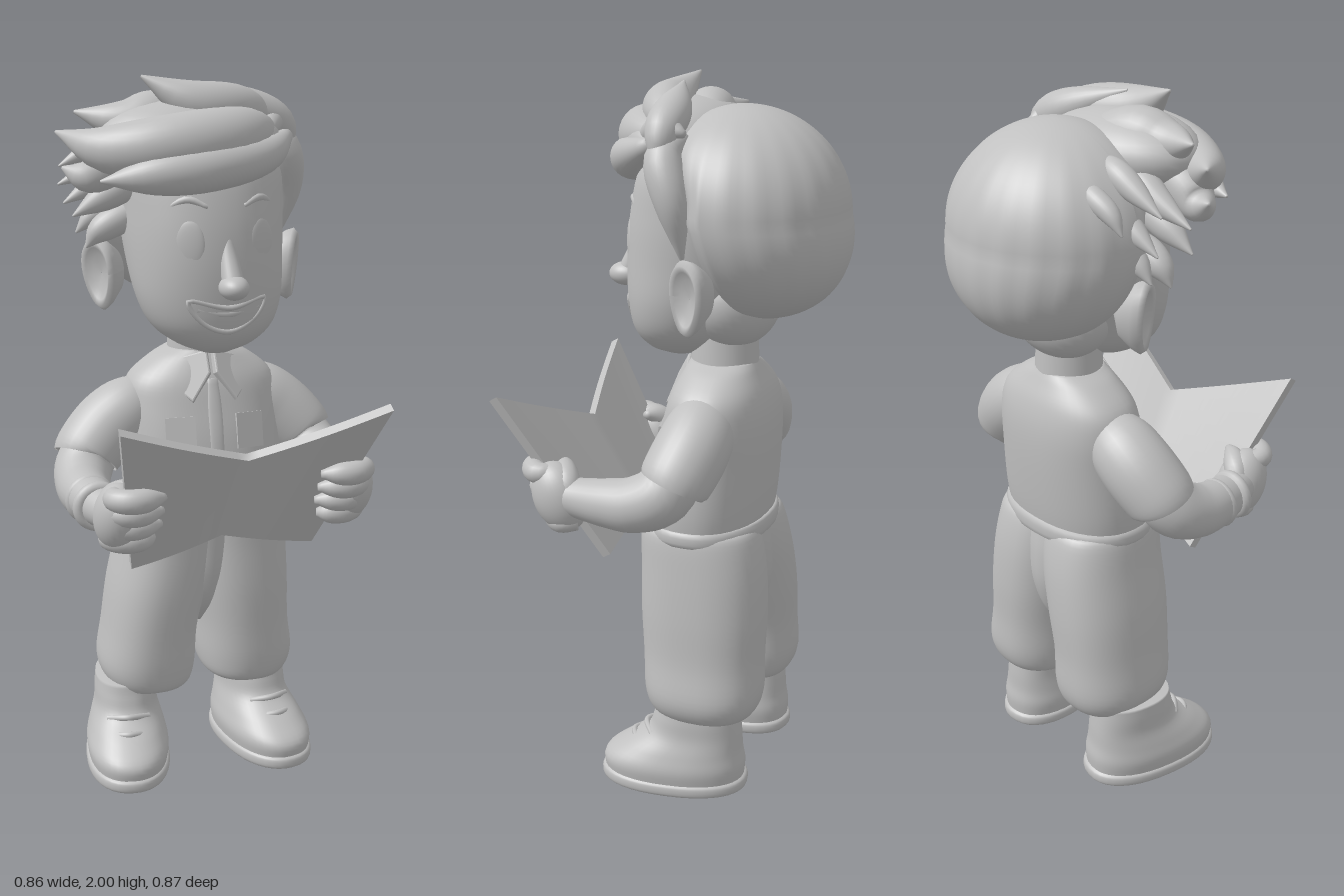
import * as THREE from 'three';

const clay = new THREE.MeshStandardMaterial({ color: 0xc0c0c0 });
clay.name = 'clay grey';

function mesh(name, geometry, parent) {
  const m = new THREE.Mesh(geometry, clay);
  m.name = name;
  parent.add(m);
  return m;
}

// Smooth closed body through rings [x, y, z, radiusA, radiusB].
// level keeps every ring horizontal (rings ordered upwards); power < 1 squares the section.
function sweep(rings, { level = false, power = 1, steps = 5, sides = 28, ref = new THREE.Vector3(0, 0, 1) } = {}) {
  const path = new THREE.CatmullRomCurve3(rings.map(r => new THREE.Vector3(r[0], r[1], r[2])), false, 'catmullrom');
  const size = new THREE.CatmullRomCurve3(rings.map(r => new THREE.Vector3(r[3], r[4] ?? r[3], 0)), false, 'catmullrom');
  const count = (rings.length - 1) * steps, pos = [], idx = [];
  const bend = v => Math.sign(v) * Math.abs(v) ** power;
  for (let i = 0; i <= count; i++) {
    const c = path.getPoint(i / count), r = size.getPoint(i / count);
    const t = level ? new THREE.Vector3(0, 1, 0) : path.getTangent(i / count);
    const a = t.clone().cross(ref).normalize(), b = a.clone().cross(t);
    for (let j = 0; j < sides; j++) {
      const w = j / sides * Math.PI * 2;
      const p = c.clone().addScaledVector(a, bend(Math.cos(w)) * Math.max(r.x, 0.001))
        .addScaledVector(b, bend(Math.sin(w)) * Math.max(r.y, 0.001));
      pos.push(p.x, p.y, p.z);
      if (i < count) {
        const k = i * sides + j, l = i * sides + (j + 1) % sides;
        idx.push(k, k + sides, l + sides, k, l + sides, l);
      }
    }
  }
  const s = pos.length / 3, e = s + 1, last = count * sides;
  pos.push(...path.getPoint(0).toArray(), ...path.getPoint(1).toArray());
  for (let j = 0; j < sides; j++) {
    const n = (j + 1) % sides;
    idx.push(s, j, n, e, last + n, last + j);
  }
  const g = new THREE.BufferGeometry();
  g.setAttribute('position', new THREE.Float32BufferAttribute(pos, 3));
  g.setIndex(idx);
  g.computeVertexNormals();
  return g;
}

function ball(name, parent, [x, y, z], [rx, ry, rz]) {
  const m = mesh(name, new THREE.SphereGeometry(1, 32, 22), parent);
  m.position.set(x, y, z);
  m.scale.set(rx, ry, rz);
  return m;
}

function cord(name, parent, points, radius, closed = false) {
  const curve = new THREE.CatmullRomCurve3(points.map(p => new THREE.Vector3(...p)), closed);
  return mesh(name, new THREE.TubeGeometry(curve, 40, radius, 8, closed), parent);
}

const headRings = [
  [0.03, 1.262, 0.03, 0.04, 0.04], [0.03, 1.29, 0.025, 0.11, 0.09], [0.025, 1.34, 0.015, 0.17, 0.135],
  [0.02, 1.42, 0.0, 0.203, 0.165], [0.015, 1.53, -0.03, 0.217, 0.2], [0.015, 1.65, -0.06, 0.225, 0.22],
  [0.015, 1.77, -0.08, 0.22, 0.21], [0.01, 1.86, -0.08, 0.15, 0.15]];

// Depth of the face surface at a given x, y
function faceZ(x, y) {
  let i = 0;
  while (i < headRings.length - 2 && headRings[i + 1][1] < y) i++;
  const a = headRings[i], b = headRings[i + 1], t = (y - a[1]) / (b[1] - a[1]);
  const [cx, , cz, rx, rz] = a.map((v, k) => v + (b[k] - v) * t);
  return cz + rz * Math.sqrt(Math.max(0, 1 - ((x - cx) / rx) ** 2));
}
const onFace = ([x, y], lift = 0) => [x, y, faceZ(x, y) + lift];

// Dished ear facing +x or -x, narrower at the lobe
function earGeometry(s) {
  const profile = [[0.001, -0.07], [0.04, -0.05], [0.06, -0.012], [0.066, 0.01], [0.058, 0.024], [0.047, 0.018], [0.034, 0.004], [0.001, 0]];
  const g = new THREE.LatheGeometry(profile.map(p => new THREE.Vector2(...p)), 32);
  g.rotateZ(-s * Math.PI / 2).scale(1, 1.55, 1);
  const p = g.attributes.position;
  for (let i = 0; i < p.count; i++) p.setZ(i, p.getZ(i) * (0.92 + 2 * p.getY(i)));
  g.computeVertexNormals();
  return g;
}

function buildHead(root) {
  const head = new THREE.Group();
  head.name = 'head';
  root.add(head);
  mesh('face', sweep(headRings, { level: true, power: 0.94, sides: 48 }), head);
  ball('nape', head, [0.02, 1.42, -0.13], [0.16, 0.13, 0.12]);
  mesh('noseBridge', sweep([[0.025, 1.6, 0.15, 0.012], [0.027, 1.54, 0.16, 0.024], [0.03, 1.47, 0.19, 0.03]]), head);
  ball('noseTip', head, [0.03, 1.465, 0.195], [0.04, 0.033, 0.05]);

  // Smiling mouth: lip outline and teeth
  cord('lips', head, [[-0.08, 1.425], [0.03, 1.405], [0.135, 1.425], [0.11, 1.375], [0.035, 1.338], [-0.04, 1.365]].map(p => onFace(p)), 0.008, true);
  cord('teeth', head, [[-0.055, 1.402], [0.03, 1.388], [0.115, 1.402]].map(p => onFace(p, -0.006)), 0.011);
  for (const s of [-1, 1]) {
    const ex = 0.022 + s * 0.1;
    ball('eye', head, onFace([ex, 1.57], -0.006), [0.045, 0.07, 0.012]).rotation.y = s * 0.45;
    mesh('eyebrow', sweep([[-0.05, 1.672, 0.006], [0.005, 1.69, 0.011], [0.07, 1.65, 0.004]].map(([x, y, r]) => [...onFace([ex + s * x, y]), r])), head);
    const ear = mesh('ear', earGeometry(s), head);
    ear.position.set(0.017 + s * 0.272, 1.47, -0.105);
    ear.rotation.set(-0.1, -s * 0.5, -s * 0.12);
  }
}

function buildHair(root) {
  const hair = new THREE.Group();
  hair.name = 'hair';
  root.add(hair);
  // Rounded back of the hair, pulled back from the face and softly grooved
  const cap = new THREE.SphereGeometry(1, 96, 48), p = cap.attributes.position;
  for (let i = 0; i < p.count; i++) {
    const x = p.getX(i), y = p.getY(i), z = p.getZ(i);
    const groove = 1 + 0.006 * Math.sin(Math.atan2(z, x) * 22) * (1 - y * y);
    const open = z > 0 ? 0.35 + 0.5 * THREE.MathUtils.smoothstep(y, 0.1, 0.75) : 1;
    p.setXYZ(i, 0.01 + x * 0.3 * groove, 1.655 + y * 0.278, -0.14 + z * 0.288 * open * groove + Math.min(0, y) * 0.07);
  }
  cap.computeVertexNormals();
  mesh('hairBack', cap, hair);
  ball('quiffBase', hair, [-0.04, 1.84, 0.03], [0.25, 0.105, 0.16]).rotation.z = -0.04;
  // Swept locks, root to tip
  const locks = [
    [[0.23, 1.84, 0.03, 0.02], [0.13, 1.8, 0.13, 0.05], [-0.03, 1.775, 0.18, 0.06], [-0.18, 1.76, 0.175, 0.05], [-0.31, 1.745, 0.14, 0.004]],
    [[0.2, 1.86, 0, 0.02], [0.07, 1.85, 0.11, 0.075], [-0.12, 1.83, 0.14, 0.08], [-0.28, 1.82, 0.08, 0.06], [-0.39, 1.86, -0.02, 0.004]],
    [[0.2, 1.87, -0.03, 0.02], [0.1, 1.91, 0.04, 0.06], [-0.04, 1.93, 0.08, 0.06], [-0.18, 2.0, 0.06, 0.004]],
    [[0.25, 1.79, 0.0, 0.01], [0.22, 1.87, 0.0, 0.045], [0.12, 1.92, 0.01, 0.048], [-0.04, 1.98, 0.05, 0.004]],
    [[0.1, 1.85, -0.08, 0.01], [-0.1, 1.89, 0.0, 0.07], [-0.22, 1.885, 0.02, 0.055], [-0.34, 1.91, -0.02, 0.004]],
    [[0.17, 1.86, -0.04, 0.02], [0.23, 1.81, -0.01, 0.05], [0.26, 1.7, -0.045, 0.045], [0.245, 1.56, -0.065, 0.006]],
    [[0.22, 1.87, -0.06, 0.01], [0.2, 1.885, 0.0, 0.035], [0.16, 1.86, 0.06, 0.028], [0.11, 1.85, 0.09, 0.004]],
    [[-0.15, 1.85, 0.02, 0.04], [-0.25, 1.79, 0.04, 0.06], [-0.32, 1.75, 0.03, 0.045], [-0.38, 1.77, 0.0, 0.004]]];
  for (const l of locks) mesh('sweptLock', sweep(l), hair);
  // Spiky locks down the right side, thinner towards the back: tip height, depth and reach
  for (const [y, z, x] of [[1.72, -0.06, -0.38], [1.64, -0.02, -0.35], [1.55, -0.05, -0.31], [1.76, -0.14, -0.36], [1.66, -0.14, -0.35], [1.58, -0.13, -0.32], [1.72, -0.22, -0.31]]) {
    const thick = 1 + z * 1.6;
    mesh('sideLock', sweep([[-0.12, y + 0.1, z * 0.7 - 0.03, 0.01], [-0.2, y + 0.08, z, 0.042 * thick], [-0.27, y + 0.045, z, 0.038 * thick], [x, y, z, 0.003]]), hair);
  }
}

function buildBody(root) {
  mesh('neck', new THREE.CylinderGeometry(0.088, 0.098, 0.18, 32), root).position.set(0.025, 1.26, -0.1);
  mesh('shirt', sweep([[0.025, 0.76, -0.065, 0.225, 0.155], [0.025, 0.86, -0.07, 0.235, 0.165], [0.025, 1.0, -0.085, 0.23, 0.16], [0.025, 1.1, -0.097, 0.228, 0.147], [0.025, 1.17, -0.1, 0.21, 0.13], [0.025, 1.225, -0.1, 0.145, 0.105], [0.025, 1.255, -0.1, 0.085, 0.09]], { level: true, power: 0.88, sides: 40 }), root);
  mesh('placket', sweep([[0.025, 0.84, 0.093, 0.02, 0.006], [0.025, 1.0, 0.073, 0.02, 0.006], [0.025, 1.1, 0.049, 0.02, 0.006], [0.025, 1.18, 0.025, 0.015, 0.006]], { level: true }), root);
  // Collar flaps and chest pockets
  const flap = new THREE.Shape([[0, 0.08], [0.1, 0.07], [0.1, 0.0], [0.055, -0.05], [0, 0.02]].map(a => new THREE.Vector2(...a)));
  const flapGeometry = new THREE.ExtrudeGeometry(flap, { depth: 0.012, bevelSize: 0.005, bevelThickness: 0.005, bevelSegments: 2 });
  for (const s of [-1, 1]) {
    const g = flapGeometry.clone();
    if (s < 0) g.rotateY(Math.PI).translate(0, 0, 0.012);
    const c = mesh('collar', g, root);
    c.position.set(0.025 + s * 0.008, 1.175, 0.03);
    c.rotation.set(-0.5, s * 0.4, 0);
    const pocket = mesh('chestPocket', new THREE.BoxGeometry(0.085, 0.1, 0.012), root);
    pocket.position.set(0.025 + s * 0.1, 1.03, 0.053);
    pocket.rotation.set(-0.2, s * 0.25, 0);
  }
  // Fills the seam between the two trouser halves
  mesh('trouserSeat', sweep([[0.005, 0.42, -0.09, 0.015, 0.05], [0.01, 0.5, -0.09, 0.05, 0.115], [0.015, 0.6, -0.087, 0.08, 0.15], [0.02, 0.7, -0.08, 0.1, 0.158], [0.025, 0.79, -0.068, 0.13, 0.155]], { level: true, power: 0.85 }), root);
  mesh('waistband', sweep([[0.025, 0.765, -0.068, 0.2, 0.15], [0.025, 0.77, -0.068, 0.236, 0.17], [0.025, 0.81, -0.068, 0.236, 0.17], [0.025, 0.816, -0.068, 0.2, 0.15]], { level: true, power: 0.9, steps: 3, sides: 40 }), root);
}

function buildLeg(root, s) {
  const side = s > 0 ? 'left' : 'right';
  // Each trouser half runs from the gathered hem to the waist: y, offset, centre z, radii
  const rings = [[0.232, 0.15, -0.09, 0.09, 0.11], [0.25, 0.15, -0.092, 0.125, 0.15], [0.31, 0.153, -0.095, 0.143, 0.17], [0.42, 0.143, -0.09, 0.138, 0.174], [0.55, 0.127, -0.086, 0.142, 0.18], [0.68, 0.108, -0.08, 0.142, 0.177], [0.78, 0.096, -0.068, 0.138, 0.166], [0.805, 0.096, -0.068, 0.12, 0.14]];
  mesh(side + 'Trouser', sweep(rings.map(([y, x, z, a, b]) => [0.004 + s * x + 0.02 * THREE.MathUtils.smoothstep(y, 0.4, 0.8), y, z, a, b]), { level: true, power: 0.86, sides: 40 }), root);
  const shoe = new THREE.Group();
  shoe.name = side + 'Shoe';
  shoe.position.x = s > 0 ? 0.193 : -0.23;
  shoe.rotation.y = s * 0.17;
  root.add(shoe);
  mesh('sole', sweep([[0, 0.005, -0.015, 0.105, 0.196], [0, 0.016, -0.015, 0.122, 0.214], [0, 0.04, -0.015, 0.123, 0.215], [0, 0.05, -0.015, 0.112, 0.203]], { level: true, power: 0.88, steps: 4, sides: 40 }), shoe);
  mesh('upper', sweep([[0, 0.035, -0.015, 0.115, 0.205], [0, 0.085, -0.016, 0.121, 0.207], [0, 0.13, -0.04, 0.11, 0.176], [0, 0.18, -0.075, 0.095, 0.138], [0, 0.23, -0.083, 0.092, 0.125], [0, 0.27, -0.085, 0.088, 0.118]], { level: true, power: 0.88, sides: 40 }), shoe);
  // Laces over the instep
  for (let i = 0; i < 3; i++) {
    const y = 0.15 + i * 0.035, z = 0.105 - i * 0.038;
    cord('lace', shoe, [[-0.06, y - 0.012, z - 0.03], [0, y, z], [0.06, y - 0.012, z - 0.03]], 0.009);
  }
}

function buildArm(root, s) {
  const side = s > 0 ? 'left' : 'right', up = new THREE.Vector3(0.3 * s, 0.5, 1).normalize();
  const arm = new THREE.Group();
  arm.name = side + 'Arm';
  arm.position.set(s > 0 ? 0.008 : 0, s > 0 ? 0.01 : -0.01, 0);
  root.add(arm);
  const inward = s > 0 ? 0 : 0.03;
  const mirror = rings => rings.map(r => [s * r[0], ...r.slice(1)]);
  mesh('sleeve', sweep(mirror([[0.1, 1.13, -0.1, 0.05], [0.175, 1.095, -0.1, 0.09], [0.245, 1.045, -0.097, 0.101], [0.31, 0.98, -0.078, 0.098], [0.322, 0.962, -0.072, 0.088]]), { ref: up }), arm);
  mesh('forearm', sweep(mirror([[0.28, 1.02, -0.08, 0.075], [0.33, 0.945, -0.05, 0.082], [0.35, 0.91, 0.02, 0.076], [0.35, 0.902, 0.1, 0.067], [0.343 - inward * 0.4, 0.9, 0.19, 0.056], [0.338 - inward, 0.9, 0.26, 0.05]]), { ref: new THREE.Vector3(1, 0, 0) }), arm);
  if (s < 0) {
    for (const [z, x] of [[0.11, 0.35], [0.175, 0.343]]) {
      const band = mesh('wristBand', new THREE.TorusGeometry(0.052, 0.018, 12, 32), arm);
      band.position.set(s * x, 0.9, z);
    }
  }
  // Hand gripping the edge of the book
  const hand = new THREE.Group();
  hand.name = side + 'Hand';
  hand.position.x = -s * inward;
  arm.add(hand);
  ball('palm', hand, [s * 0.338, 0.895, 0.255], [0.066, 0.1, 0.075]).rotation.x = 0.4;
  for (let i = 0; i < 4; i++) {
    const y = 0.962 - i * 0.044, z = (y - 0.9) * 0.5, k = i === 3 ? 0.015 : 0;
    mesh('finger', sweep(mirror([[0.34, y, 0.235 + z, 0.024], [0.36, y, 0.275 + z, 0.03], [0.325, y, 0.308 + z, 0.033], [0.275, y, 0.308 + z, 0.03], [0.228 + k, y, 0.295 + z, 0.01]]), { ref: new THREE.Vector3(0, 1, 0), sides: 16 }), hand);
  }
  mesh('thumb', sweep(mirror([[0.36, 0.9, 0.21, 0.025], [0.345, 0.94, 0.225, 0.034], [0.31, 0.965, 0.25, 0.03], [0.27, 0.975, 0.27, 0.01]]), { sides: 16 }), hand);
}

// Open book: one slab bent along its spine
function buildBook(root) {
  const g = new THREE.BoxGeometry(2, 1, 1, 24, 10, 1), p = g.attributes.position;
  const spine = [new THREE.Vector3(0.005, 0.775, 0.165), new THREE.Vector3(0.03, 1.035, 0.315)];
  const left = [new THREE.Vector3(0.28, 0.72, 0.15), new THREE.Vector3(0.39, 1.172, 0.425)];
  const right = [new THREE.Vector3(-0.245, 0.69, 0.13), new THREE.Vector3(-0.34, 1.165, 0.418)];
  for (let i = 0; i < p.count; i++) {
    const u = p.getX(i), v = p.getY(i) + 0.5, outer = u < 0 ? right : left;
    const q = spine[0].clone().lerp(spine[1], v).lerp(outer[0].clone().lerp(outer[1], v), Math.abs(u));
    const depth = p.getZ(i) * 0.026 + 0.006 * Math.sin(Math.abs(u) * Math.PI);
    p.setXYZ(i, q.x, q.y - depth * 0.5, q.z + depth * 0.86);
  }
  g.computeVertexNormals();
  mesh('openBook', g, root);
}

export function createModel() {
  const root = new THREE.Group();
  root.name = 'readingBoy';
  buildHead(root);
  buildHair(root);
  buildBody(root);
  for (const s of [-1, 1]) {
    buildLeg(root, s);
    buildArm(root, s);
  }
  buildBook(root);
  return root;
}
